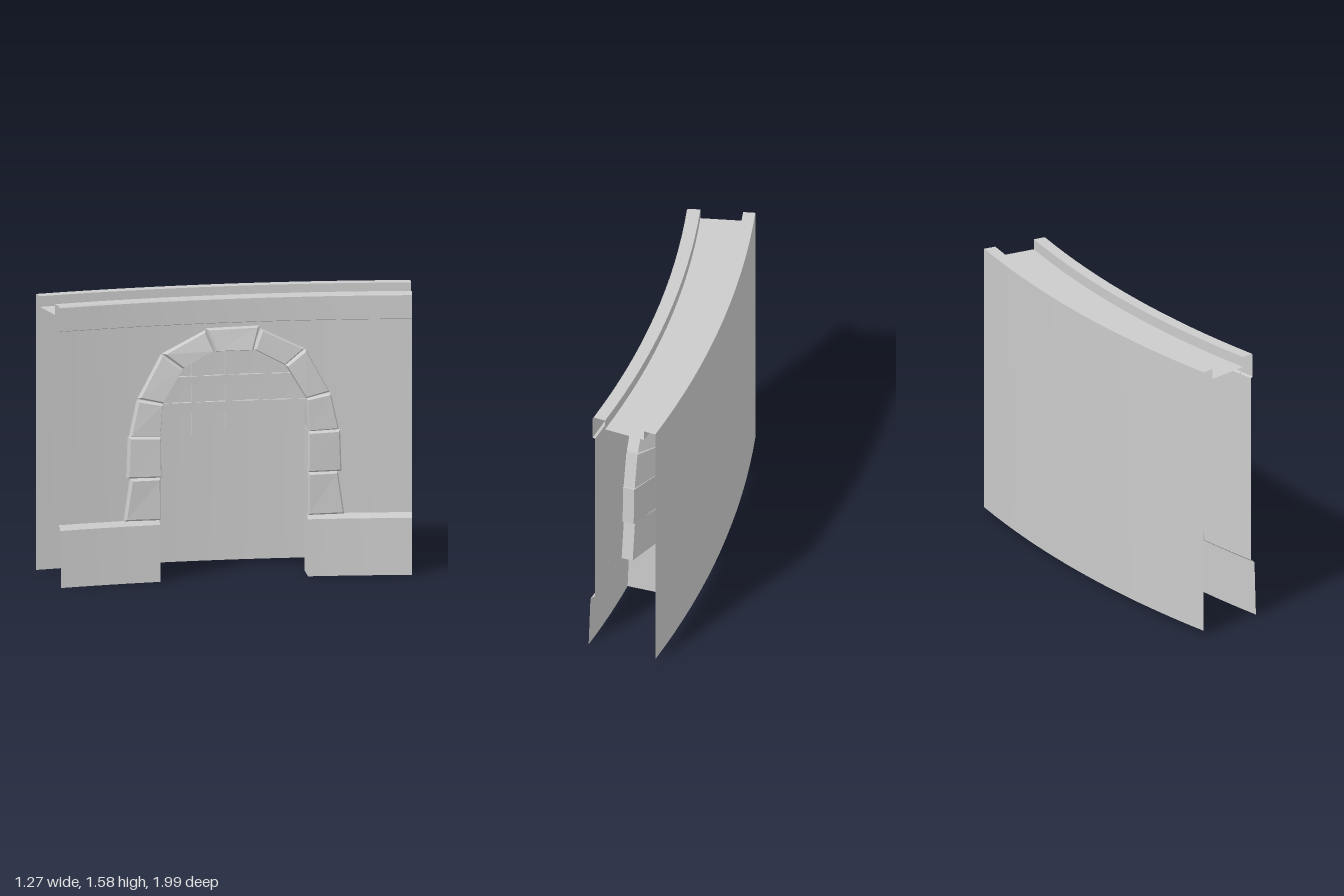
import * as THREE from 'three';

// Flat wall coordinates: u along the wall, y up, d outward from the rear face.
const R = 6.36, CX = 5.44, CZ = 2.763, PHI = THREE.MathUtils.degToRad(26.75);
const HALF = 0.995, JAMB = 0.416, HOLE = 0.5, SPRING = 0.82;

function bend(u, y, d) {
  const a = PHI + u / 6, r = R - d;
  return [CX - r * Math.cos(a), y, CZ - r * Math.sin(a)];
}

function bendGeometry(g) {
  const p = g.attributes.position;
  for (let i = 0; i < p.count; i++) p.setXYZ(i, ...bend(p.getX(i), p.getY(i), p.getZ(i)));
  g.computeVertexNormals();
  return g;
}

function build(pos, idx) {
  const g = new THREE.BufferGeometry();
  g.setAttribute('position', new THREE.Float32BufferAttribute(pos, 3));
  g.setIndex(idx);
  return g;
}

// Sweep a [d, y] profile along u; smooth along the curve, sharp across it
function sweep(us, profile) {
  const pos = [], idx = [], count = profile(us[0]).length;
  for (let s = 0; s < count - 1; s++) {
    const base = pos.length / 3;
    us.forEach((u, i) => {
      const pts = profile(u);
      for (const [d, y] of [pts[s], pts[s + 1]]) pos.push(u, y, d);
      if (i) {
        const k = base + 2 * i;
        idx.push(k - 2, k - 1, k + 1, k - 2, k + 1, k);
      }
    });
  }
  return bendGeometry(build(pos, idx));
}

const range = (a, b, n) => Array.from({ length: n + 1 }, (_, i) => a + (b - a) * i / n);

// Block from four counter-clockwise corners [u, y, isOuter], with a bevelled face
function stoneGeometry(corners, rand) {
  const cu = corners.reduce((s, c) => s + c[0], 0) / 4;
  const cy = corners.reduce((s, c) => s + c[1], 0) / 4;
  const layers = [
    { scale: 0.985, d: [0.23, 0.3] },
    { scale: 0.99, d: [0.405, 0.385] },
    { scale: 0.9, d: [0.424, 0.405] },
  ];
  const pos = [], idx = [];
  const jit = corners.map(() => (rand() - 0.5) * 0.014);
  for (const { scale, d } of layers) {
    corners.forEach(([u, y, outer], i) => pos.push(
      cu + (u - cu) * scale, cy + (y - cy) * scale, d[outer] + (scale === 0.985 ? 0 : jit[i])));
  }
  for (let l = 0; l < 2; l++) {
    for (let i = 0; i < 4; i++) {
      const a = l * 4 + i, b = l * 4 + (i + 1) % 4;
      idx.push(a, b, b + 4, a, b + 4, a + 4);
    }
  }
  idx.push(8, 9, 10, 8, 10, 11, 0, 2, 1, 0, 3, 2);
  return bendGeometry(build(pos, idx).toNonIndexed());
}

export function createModel() {
  const model = new THREE.Group();
  model.name = 'curvedGateWall';
  const smooth = new THREE.MeshStandardMaterial({ color: 0xcccccc, side: THREE.DoubleSide });
  const flat = new THREE.MeshStandardMaterial({ color: 0xcccccc, side: THREE.DoubleSide, flatShading: true });
  const add = (parent, name, geometry, material) => {
    const m = new THREE.Mesh(geometry, material);
    m.name = name;
    parent.add(m);
    return m;
  };

  // Rear wall, and the walkway between two low parapets
  const full = range(-HALF, HALF, 16);
  add(model, 'rearWall', sweep(full, () => [[0, 0.025], [0, 1.575]]), smooth);
  add(model, 'walkwayAndParapets', sweep(full, () => [
    [0, 1.575], [0.068, 1.575], [0.068, 1.515], [0.304, 1.515], [0.304, 1.575],
    [0.371, 1.575], [0.379, 1.566], [0.379, 1.435], [0.365, 1.43],
  ]), smooth);

  // Front wall above the arched hole
  const archUs = range(-Math.PI / 2, Math.PI / 2, 24).map((a) => HOLE * Math.sin(a));
  const holeTop = (u) => SPRING + 0.53 * Math.sqrt(Math.max(0, 1 - (u / HOLE) ** 2));
  add(model, 'frontWallOverArch', sweep(archUs, (u) => [[0.365, 1.43], [0.365, holeTop(u)]]), smooth);

  // Front wall and sloped plinth on each side of the gate
  for (const side of [-1, 1]) {
    const span = (inner) => range(side * inner, side * HALF, 6).sort((a, b) => a - b);
    add(model, 'frontWallSide', sweep(span(HOLE), () => [[0.365, 1.43], [0.365, 0.34]]), smooth);
    add(model, 'plinth', sweep(span(JAMB), () => [[0.365, 0.345], [0.393, 0.318], [0.404, 0]]), smooth);
    const u = side * JAMB;
    const jamb = build([u, 0, 0.23, u, 0, 0.404, u, 0.318, 0.393, u, 0.345, 0.365, u, 0.345, 0.23],
      side < 0 ? [0, 2, 1, 0, 3, 2, 0, 4, 3] : [0, 1, 2, 0, 2, 3, 0, 3, 4]);
    add(model, 'plinthJamb', bendGeometry(jamb), flat);
  }

  // Stone surround: inner and outer ends of the lower and upper joint of each block
  let seed = 7;
  const rand = () => (seed = (seed * 16807) % 2147483647) / 2147483647;
  const surround = new THREE.Group();
  surround.name = 'stoneSurround';
  model.add(surround);
  const blocks = [
    [0.416, 0.345, 0.62, 0.345, 0.416, 0.585, 0.585, 0.585],
    [0.412, 0.585, 0.605, 0.585, 0.416, 0.815, 0.597, 0.82],
    [0.418, 0.815, 0.59, 0.82, 0.405, 1.0, 0.545, 1.025],
    [0.405, 1.0, 0.54, 1.03, 0.29, 1.19, 0.405, 1.275],
    [0.29, 1.19, 0.4, 1.275, 0.11, 1.285, 0.155, 1.395],
  ];
  for (const side of [-1, 1]) {
    for (const [iu, iy, ou, oy, iu2, iy2, ou2, oy2] of blocks) {
      const c = [[side * iu, iy, 0], [side * ou, oy, 1], [side * ou2, oy2, 1], [side * iu2, iy2, 0]];
      if (side < 0) c.reverse();
      add(surround, 'surroundStone', stoneGeometry(c, rand), flat);
    }
  }
  add(surround, 'keystone', stoneGeometry(
    [[-0.11, 1.28, 0], [0.11, 1.28, 0], [0.15, 1.41, 1], [-0.155, 1.405, 1]], rand), flat);

  // Raised grille: upright and cross bars
  const grille = new THREE.Group();
  grille.name = 'grille';
  model.add(grille);
  const bar = (name, u0, u1, y0, y1, d) => {
    const g = new THREE.BoxGeometry(u1 - u0, y1 - y0, 0.022, name === 'crossBar' ? 8 : 1);
    g.translate((u0 + u1) / 2, (y0 + y1) / 2, d);
    add(grille, name, bendGeometry(g), flat);
  };
  [[-0.37, 0.87, 1.08], [-0.187, 0.795, 1.26], [0, 0.83, 1.3], [0.187, 0.795, 1.26], [0.37, 0.87, 1.08]]
    .forEach(([u, y0, y1]) => bar('uprightBar', u - 0.035, u + 0.035, y0, y1, 0.325));
  bar('crossBar', -0.415, 0.415, 0.932, 0.985, 0.331);
  bar('crossBar', -0.36, 0.36, 1.082, 1.132, 0.331);
  return model;
}
